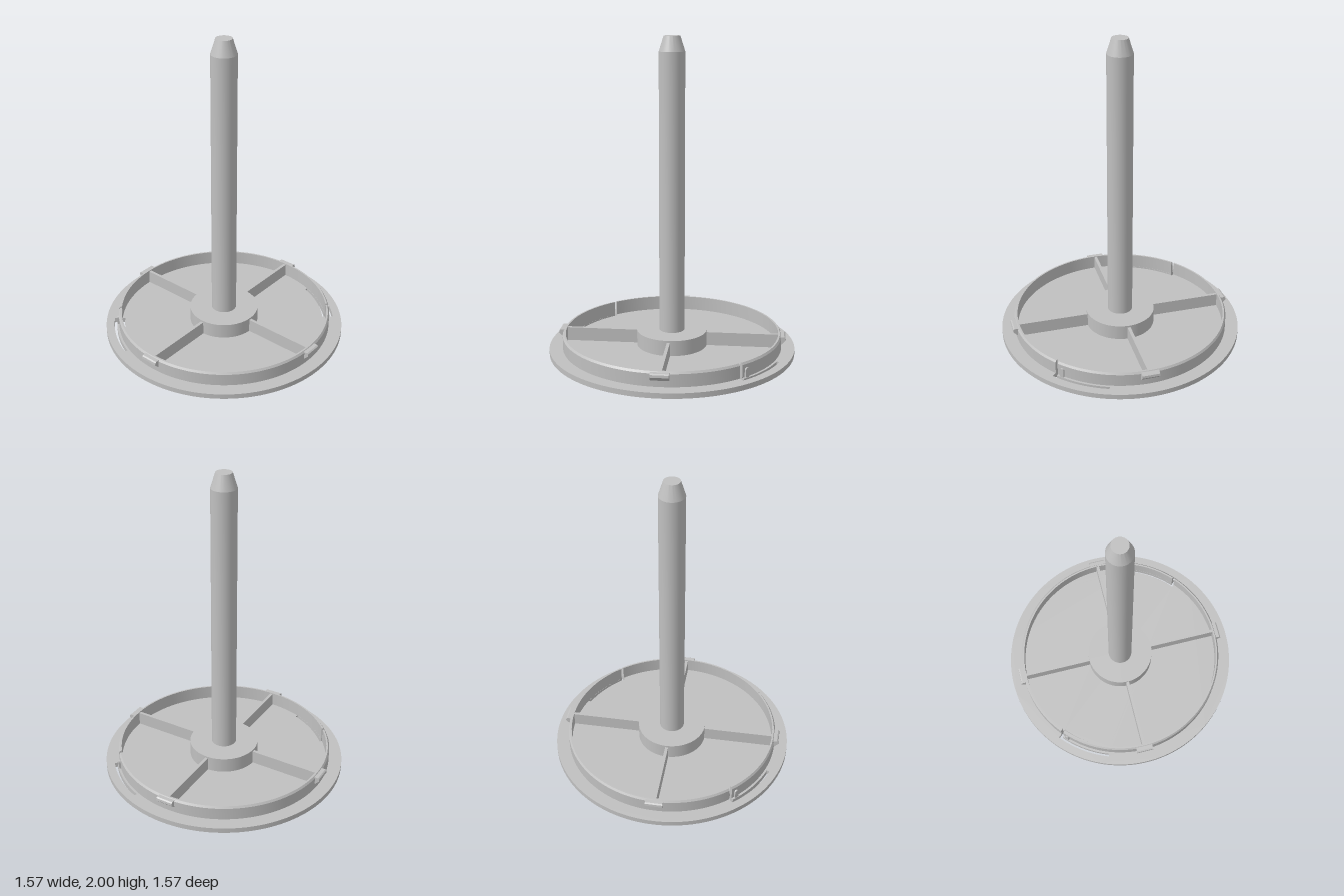
import * as THREE from 'three';
import { toCreasedNormals } from 'three/addons/utils/BufferGeometryUtils.js';

const deg = Math.PI / 180;
const PLATE = 0.033; // plate thickness

export function createModel() {
  const model = new THREE.Group();
  model.name = 'spindleBase';
  const grey = new THREE.MeshStandardMaterial({ color: 0xc0c0c0 });
  grey.name = 'greyPlastic';
  const greyThin = new THREE.MeshStandardMaterial({ color: 0xc0c0c0, side: THREE.DoubleSide });
  greyThin.name = 'greyPlastic';

  const add = (name, geometry, material = grey) => {
    const mesh = new THREE.Mesh(geometry, material);
    mesh.name = name;
    model.add(mesh);
    return mesh;
  };

  // Round plate with two U-shaped slots that free a spring tab
  const slotStart = 40.5 * deg, slotBend = 42 * deg, slotEnd = 70 * deg;
  const disc = new THREE.Shape();
  disc.absarc(0, 0, 0.787, 0, Math.PI * 2, false);
  for (const turn of [0, Math.PI]) {
    const a = slotStart + turn, b = slotBend + turn, c = slotEnd + turn;
    const slot = new THREE.Path();
    slot.absarc(0, 0, 0.734, a, c, false);
    slot.absarc(0, 0, 0.716, c, b, true);
    slot.absarc(0, 0, 0.681, b, c, false);
    slot.absarc(0, 0, 0.664, c, a, true);
    slot.closePath();
    disc.holes.push(slot);
  }
  const plate = new THREE.ExtrudeGeometry(disc, { depth: PLATE, bevelEnabled: false, curveSegments: 96 });
  plate.rotateX(-Math.PI / 2);
  add('basePlate', toCreasedNormals(plate, 0.5));

  // Ring wall in two halves, split where the slots cross it
  const profile = [[0.682, 0.03], [0.702, 0.03], [0.702, 0.113], [0.693, 0.126], [0.682, 0.126], [0.682, 0.03]]
    .map(([r, y]) => new THREE.Vector2(r, y));
  for (const turn of [0, Math.PI]) {
    const from = slotBend + turn, to = slotStart + turn + Math.PI;
    const wall = new THREE.LatheGeometry(profile, 96, from + Math.PI / 2, to - from);
    add('ringWall', toCreasedNormals(wall, 0.4));
    for (const angle of [from, to]) {
      add('wallEnd', new THREE.ShapeGeometry(new THREE.Shape(profile)).rotateY(angle), greyThin);
    }
    // Small nub on the outside of each spring tab
    const nub = new THREE.Shape();
    nub.moveTo(-0.014, 0);
    nub.lineTo(0.014, 0);
    nub.lineTo(0.014, 0.046);
    nub.absarc(0, 0.046, 0.014, 0, Math.PI, false);
    nub.closePath();
    const nubGeometry = new THREE.ExtrudeGeometry(nub, { depth: 0.018, bevelEnabled: false, curveSegments: 8 });
    nubGeometry.translate(0, 0.032, 0.695).rotateY(44.7 * deg + turn + Math.PI / 2);
    add('tabNub', nubGeometry);
  }

  // Four snap clips and four ribs
  const clip = new THREE.Shape([[0.695, 0.072], [0.703, 0.072], [0.73, 0.1], [0.728, 0.115], [0.72, 0.121], [0.695, 0.121]]
    .map(([r, y]) => new THREE.Vector2(r, y)));
  for (let i = 0; i < 4; i++) {
    const angle = i * Math.PI / 2;
    const clipGeometry = new THREE.ExtrudeGeometry(clip, { depth: 0.112, bevelEnabled: false });
    add('snapClip', clipGeometry.translate(0, 0, -0.056).rotateY(angle));
    const rib = new THREE.BoxGeometry(0.475, 0.09, 0.02);
    add('rib', rib.translate(0.4525, 0.075, 0).rotateY(angle));
  }

  // Raised hub
  const hub = new THREE.CylinderGeometry(0.225, 0.225, 0.102, 64);
  add('hub', hub.translate(0, 0.081, 0));

  // Tall spindle with a tapered tip
  const spindle = new THREE.LatheGeometry(
    [[0.081, 0.12], [0.081, 1.905], [0.051, 2], [0, 2]].map(([r, y]) => new THREE.Vector2(r, y)), 48);
  add('spindle', toCreasedNormals(spindle, 0.25));

  return model;
}
